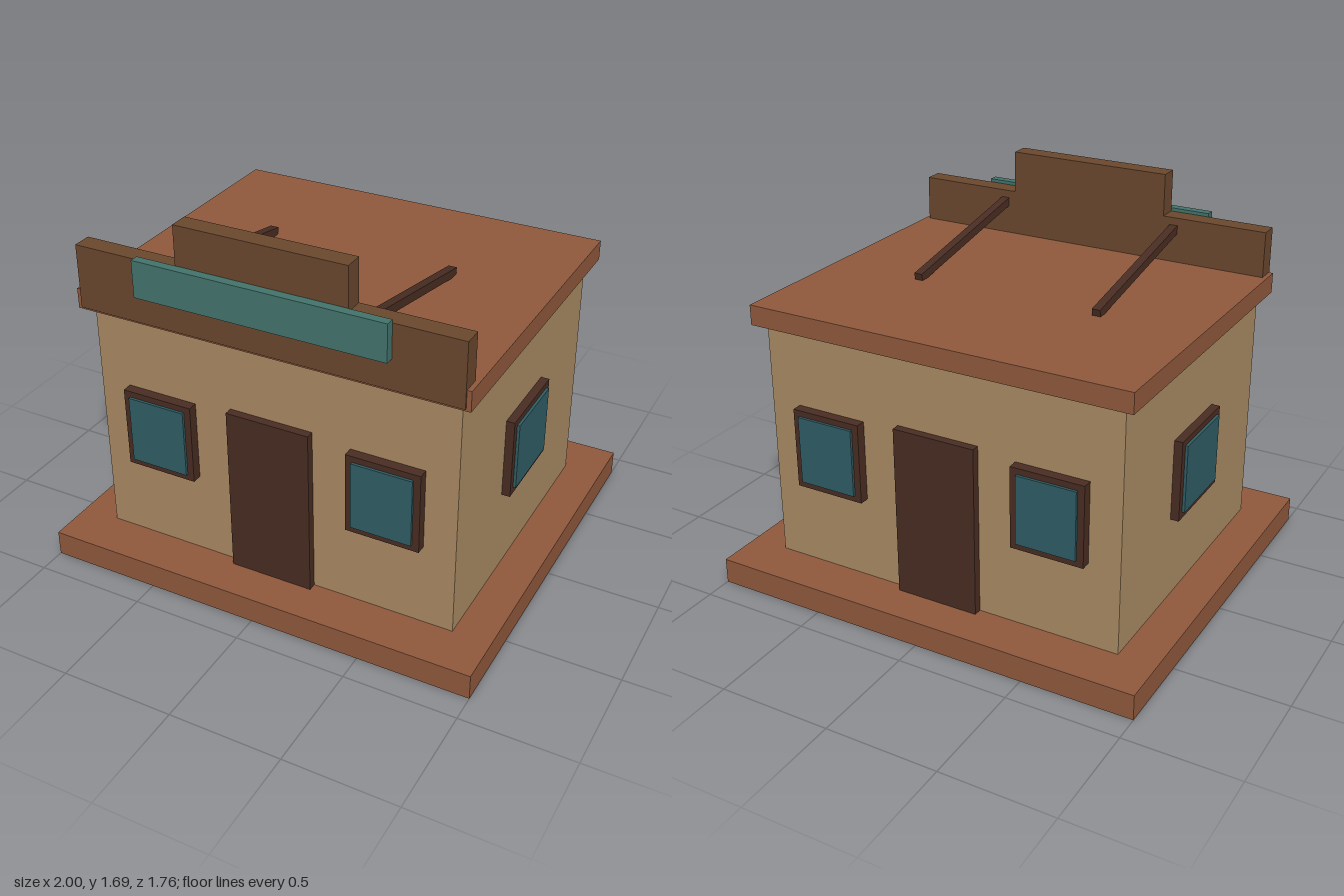
import * as THREE from 'three';

const paint = (name, color) => {
  const m = new THREE.MeshStandardMaterial({ color });
  m.name = name;
  return m;
};

export function createModel() {
  const clay = paint('clay', 0x8f583c);
  const sand = paint('sand', 0xa88963);
  const timber = paint('timber', 0x69472d);
  const darkWood = paint('darkWood', 0x482c22);
  const glass = paint('glass', 0x2f5c64);
  const teal = paint('teal', 0x43726b);

  const model = new THREE.Group();
  model.name = 'storefront';

  // Box given by its low and high limits on each axis
  const box = (parent, name, mat, [x0, x1], [y0, y1], [z0, z1]) => {
    const mesh = new THREE.Mesh(new THREE.BoxGeometry(x1 - x0, y1 - y0, z1 - z0), mat);
    mesh.position.set((x0 + x1) / 2, (y0 + y1) / 2, (z0 + z1) / 2);
    mesh.name = name;
    parent.add(mesh);
    return mesh;
  };

  // Main body
  box(model, 'base', clay, [-1, 1], [0, 0.115], [-0.88, 0.88]);
  box(model, 'walls', sand, [-0.83, 0.83], [0.115, 1.205], [-0.67, 0.67]);
  box(model, 'roof', clay, [-0.88, 0.88], [1.205, 1.295], [-0.715, 0.715]);

  // Stepped false front, one outline extruded
  const outline = new THREE.Shape([
    [-0.86, 1.215], [0.86, 1.215], [0.86, 1.5], [0.38, 1.5],
    [0.38, 1.69], [-0.38, 1.69], [-0.38, 1.5], [-0.86, 1.5],
  ].map(([x, y]) => new THREE.Vector2(x, y)));
  const parapet = new THREE.Mesh(
    new THREE.ExtrudeGeometry(outline, { depth: 0.085, bevelEnabled: false }), timber);
  parapet.position.z = 0.637;
  parapet.name = 'falseFront';
  model.add(parapet);
  box(model, 'signBoard', teal, [-0.56, 0.56], [1.35, 1.515], [0.722, 0.762]);

  // Sloping braces behind the false front
  for (const side of [-1, 1]) {
    const brace = new THREE.Mesh(new THREE.BoxGeometry(0.038, 0.038, 0.78), darkWood);
    brace.position.set(side * 0.43, 1.377, 0.26);
    brace.rotation.x = -Math.atan(0.184);
    brace.name = 'brace';
    model.add(brace);
  }

  // Window built facing +z, then turned onto its wall
  const addWindow = (x, z, turn, halfFrame, halfGlass) => {
    const unit = new THREE.Group();
    unit.name = 'window';
    box(unit, 'windowFrame', darkWood, [-halfFrame, halfFrame], [0.495, 0.86], [0, 0.045]);
    box(unit, 'windowPane', glass, [-halfGlass, halfGlass], [0.525, 0.833], [0.03, 0.057]);
    unit.position.set(x, 0, z);
    unit.rotation.y = turn;
    model.add(unit);
  };

  for (const side of [-1, 1]) {
    // Front and back: door with a window on each flank
    box(model, 'door', darkWood, [-0.19, 0.19], [0.115, 0.885],
      side > 0 ? [0.66, 0.707] : [-0.707, -0.66]);
    for (const x of [-0.525, 0.525]) {
      addWindow(x, side * 0.67, side > 0 ? 0 : Math.PI, 0.164, 0.134);
    }
    // Left and right: one central window
    addWindow(side * 0.822, 0, side * Math.PI / 2, 0.197, 0.167);
  }

  return model;
}
